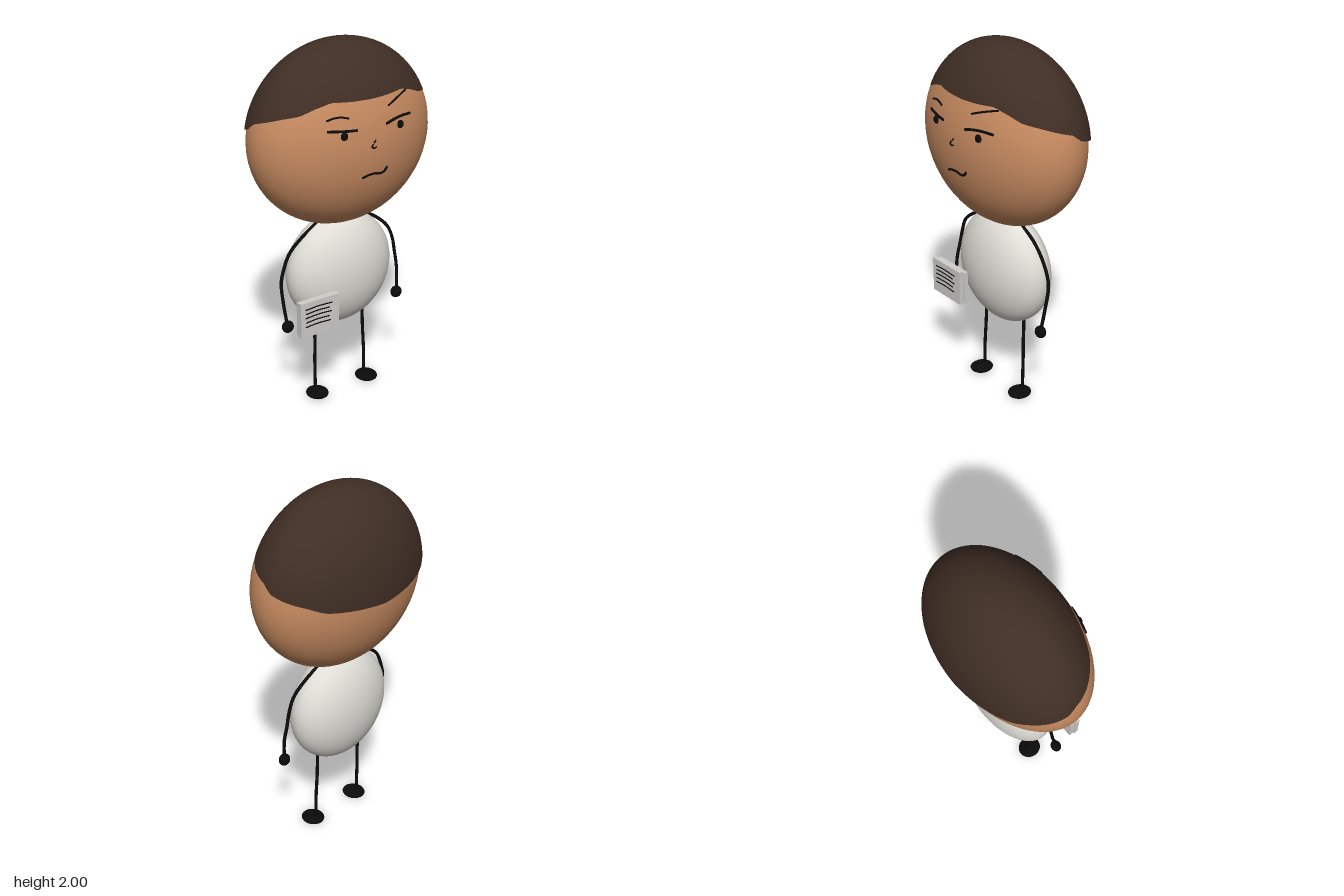
import * as THREE from 'three';

const mat = (name, color) => Object.assign(new THREE.MeshStandardMaterial({ color }), { name });
const HEAD = { c: [0, 1.51, 0.003], r: [0.514, 0.48, 0.321] };
const HAIR = { c: [0, 1.51, -0.005], r: [0.518, 0.49, 0.331] };

export function createModel() {
  const model = new THREE.Group();
  model.name = 'figure';
  const skin = mat('skin', 0xc68a60);
  const hairBrown = mat('hairBrown', 0x3f2e24);
  hairBrown.side = THREE.DoubleSide;
  const shirt = mat('shirt', 0xdedcd5);
  const paper = mat('paper', 0xd0cec8);
  const black = mat('black', 0x0b0b0b);

  const add = (name, geo, material, parent = model) => {
    const mesh = new THREE.Mesh(geo, material);
    mesh.name = name;
    parent.add(mesh);
    return mesh;
  };
  const ellipsoid = (name, c, r, material, seg = 24) => {
    const mesh = add(name, new THREE.SphereGeometry(1, seg * 2, seg), material);
    mesh.position.set(...c);
    mesh.scale.set(...r);
    return mesh;
  };
  // round-ended stroke through a few points
  const stroke = (name, pts, radius, material = black, parent = model) => {
    const curve = new THREE.CatmullRomCurve3(pts.map(p => new THREE.Vector3(...p)));
    const mesh = add(name, new THREE.TubeGeometry(curve, 28, radius, 8), material, parent);
    for (const p of [pts[0], pts[pts.length - 1]]) {
      add(name + 'End', new THREE.SphereGeometry(radius, 8, 6), material, mesh).position.set(...p);
    }
    return mesh;
  };
  // z of the head's front surface
  const faceZ = (x, y) => HEAD.c[2] + HEAD.r[2] *
    Math.sqrt(1 - (x / HEAD.r[0]) ** 2 - ((y - HEAD.c[1]) / HEAD.r[1]) ** 2);

  // Head and body
  ellipsoid('head', HEAD.c, HEAD.r, skin, 32);
  ellipsoid('body', [0, 0.75, -0.003], [0.315, 0.32, 0.174], shirt, 32);

  // Hair: cap whose lower edge follows [angle from the front, height]
  const hairline = [[0, 1.76], [14, 1.762], [28, 1.767], [38, 1.745], [49, 1.712], [60, 1.697],
    [70, 1.68], [90, 1.645], [99, 1.605], [110, 1.583], [128, 1.55], [140, 1.515], [160, 1.495], [180, 1.478]];
  const lineHeight = a => {
    const i = Math.max(1, hairline.findIndex(p => p[0] >= a - 1e-6));
    const [a0, y0] = hairline[i - 1], [a1, y1] = hairline[i];
    return y0 + (y1 - y0) * (a - a0) / (a1 - a0);
  };
  const hair = new THREE.SphereGeometry(1, 120, 32);
  const pos = hair.attributes.position, nor = hair.attributes.normal;
  const n = new THREE.Vector3();
  for (let row = 0; row <= 32; row++) {
    for (let col = 0; col <= 120; col++) {
      const i = row * 121 + col;
      const deg = col * 3, az = THREE.MathUtils.degToRad(deg);
      const end = Math.acos((lineHeight(deg > 180 ? 360 - deg : deg) - HAIR.c[1]) / HAIR.r[1]);
      // the last row tucks into the head to close the rim
      const phi = end * Math.min(row, 31) / 31, k = row === 32 ? 0.96 : 1;
      // +x lies a quarter turn after the front
      const u = [Math.sin(phi) * Math.sin(az), Math.cos(phi), Math.sin(phi) * Math.cos(az)];
      pos.setXYZ(i, ...u.map((v, j) => HAIR.c[j] + HAIR.r[j] * v * k));
      n.set(...u.map((v, j) => v / HAIR.r[j])).normalize();
      nor.setXYZ(i, n.x, n.y, n.z);
    }
  }
  add('hair', hair, hairBrown);

  // Face: strokes and eyes laid on the head
  const faceStroke = (name, pts, radius, lift = 0.002) =>
    stroke(name, pts.map(([x, y]) => [x, y, faceZ(x, y) + lift]), radius);
  for (const [name, x] of [['rightEye', -0.17], ['leftEye', 0.16]]) {
    ellipsoid(name, [x, 1.607, faceZ(x, 1.607) + 0.002], [0.019, 0.021, 0.014], black, 10);
  }
  faceStroke('rightEyelid', [[-0.245, 1.637], [-0.2, 1.634], [-0.15, 1.63], [-0.105, 1.628]], 0.007);
  faceStroke('leftEyelid', [[0.073, 1.631], [0.12, 1.641], [0.17, 1.646], [0.235, 1.643]], 0.007);
  faceStroke('rightBrow', [[-0.243, 1.688], [-0.21, 1.697], [-0.175, 1.698], [-0.14, 1.69]], 0.005);
  faceStroke('leftBrow', [[0.097, 1.712], [0.14, 1.728], [0.185, 1.742], [0.232, 1.754]], 0.005);
  faceStroke('nose', [[-0.004, 1.562], [-0.012, 1.553]], 0.004, 0.004);
  faceStroke('noseTip', [[-0.02, 1.545], [-0.026, 1.533], [-0.015, 1.526], [-0.002, 1.529]], 0.004, 0.006);
  faceStroke('mouth', [[-0.066, 1.375], [-0.035, 1.384], [0.005, 1.386], [0.035, 1.379], [0.06, 1.385], [0.074, 1.404]], 0.006);

  // Arms and hands
  stroke('leftArm', [[0.14, 1.035, 0], [0.23, 0.985, 0.004], [0.31, 0.91, 0.012], [0.35, 0.82, 0.01],
    [0.36, 0.76, 0.012], [0.363, 0.65, 0.035], [0.353, 0.53, 0.052]], 0.009);
  stroke('rightArm', [[-0.14, 1.035, 0], [-0.23, 0.98, 0.004], [-0.315, 0.91, 0.012], [-0.352, 0.82, 0.01],
    [-0.368, 0.75, 0.012], [-0.372, 0.65, 0.035], [-0.362, 0.53, 0.052]], 0.009);
  ellipsoid('leftHand', [0.35, 0.512, 0.053], [0.033, 0.034, 0.028], black, 12);
  ellipsoid('rightHand', [-0.358, 0.512, 0.053], [0.033, 0.034, 0.028], black, 12);

  // Legs and feet
  for (const s of [-1, 1]) {
    const side = s > 0 ? 'left' : 'right';
    stroke(side + 'Leg', [[s * 0.157, 0.5, -0.003], [s * 0.158, 0.34, 0.002], [s * 0.163, 0.2, 0.007], [s * 0.164, 0.03, 0.012]], 0.009);
    ellipsoid(side + 'Foot', [s * 0.165, 0.025, 0.033], [0.061, 0.021, 0.067], black, 12);
  }

  // Notepad held at the right hand
  const notepad = new THREE.Group();
  notepad.name = 'notepad';
  notepad.position.set(-0.252, 0.613, 0.178);
  model.add(notepad);
  add('frontPages', new THREE.BoxGeometry(0.234, 0.2, 0.026), paper, notepad).position.z = 0.014;
  const back = add('backCover', new THREE.BoxGeometry(0.232, 0.185, 0.026), paper, notepad);
  back.position.set(0.006, -0.005, -0.014);
  // ruled writing
  [[0.06, 0.16], [0.036, 0.14], [0.012, 0.155], [-0.014, 0.14], [-0.04, 0.15]].forEach(([y, w], i) => {
    const x0 = -0.088 + 0.004 * (i % 2);
    stroke('writtenLine', [[x0, y, 0.027], [x0 + w * 0.5, y + 0.004, 0.027], [x0 + w, y, 0.027]], 0.0035, black, notepad);
  });
  return model;
}
